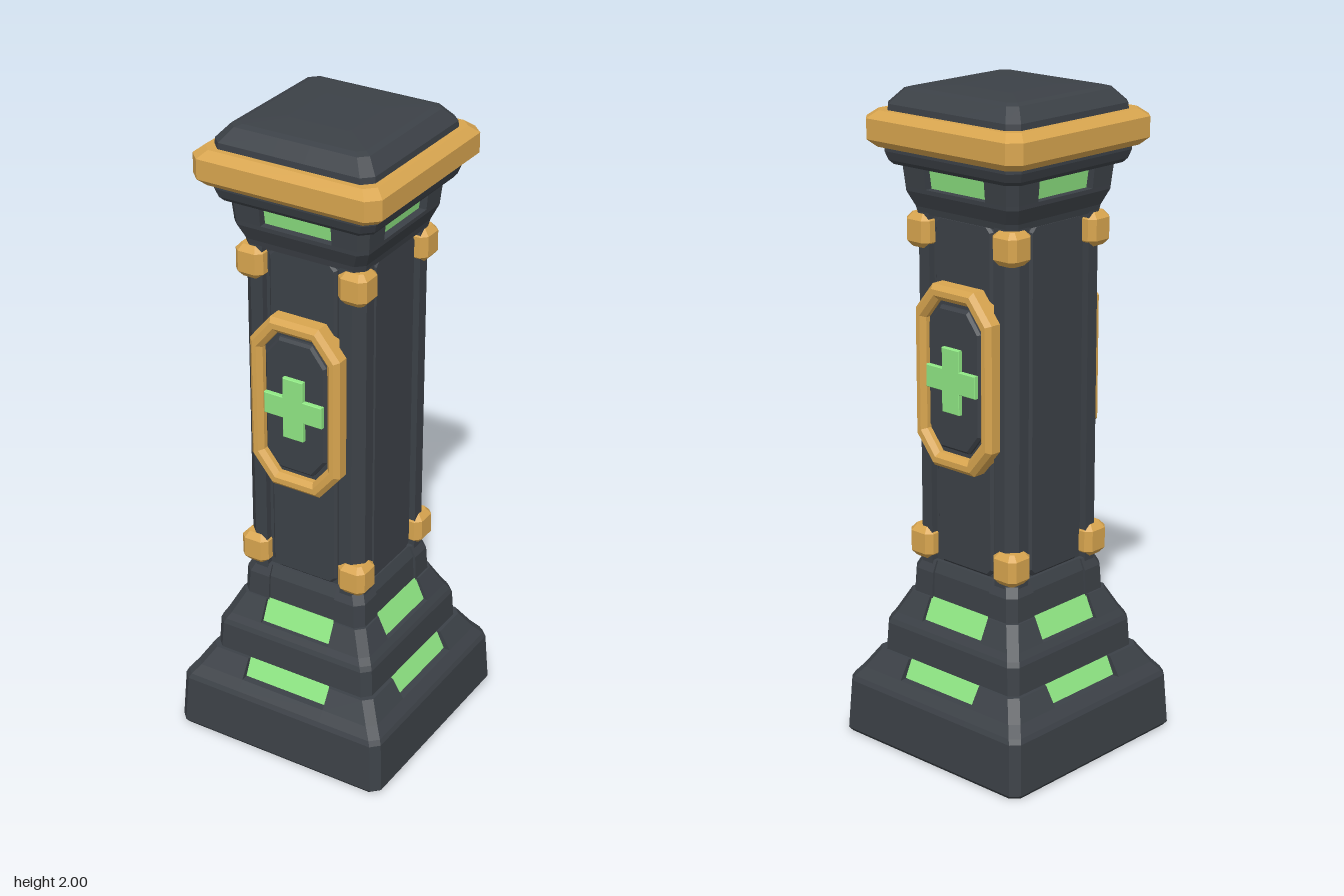
import * as THREE from 'three';

const stone = new THREE.MeshStandardMaterial({ color: 0x3c4147 });
stone.name = 'dark stone';
const gold = new THREE.MeshStandardMaterial({ color: 0xd8a54f });
gold.name = 'gold trim';
const green = new THREE.MeshStandardMaterial({ color: 0x94ee88 });
green.name = 'green glow';

// Square ring with chamfered corners and a notch of half width w, cut in to distance n on each side
function ring([y, h, c, n = h], w) {
  const side = [[c - h, h], [-w, h], [-w, n], [w, n], [w, h], [h - c, h]];
  const points = [];
  for (let k = 0; k < 4; k++) {
    for (const p of side) {
      let [x, z] = p;
      for (let r = 0; r < k; r++) [x, z] = [z, -x];
      points.push([x, y, z]);
    }
  }
  return points;
}

// Flat-faced solid through rings at levels [height, half width, chamfer, notch distance]
function loft(levels, w) {
  const rings = levels.map((level) => ring(level, w));
  const out = [];
  const count = rings[0].length;
  const last = rings.length - 1;
  const bottom = [0, levels[0][0], 0];
  const top = [0, levels[last][0], 0];
  for (let i = 0; i < count; i++) {
    const j = (i + 1) % count;
    out.push(bottom, rings[0][j], rings[0][i], top, rings[last][i], rings[last][j]);
    for (let k = 0; k < last; k++) {
      const a = rings[k][i], b = rings[k][j], c = rings[k + 1][j], d = rings[k + 1][i];
      out.push(a, b, c, a, c, d);
    }
  }
  const geometry = new THREE.BufferGeometry();
  geometry.setAttribute('position', new THREE.Float32BufferAttribute(out.flat(), 3));
  geometry.computeVertexNormals();
  return geometry;
}

// Rectangle with cut corners
function octagon(Type, w, h, cx, cy = cx) {
  return new Type([
    [w - cx, -h], [w, cy - h], [w, h - cy], [w - cx, h],
    [cx - w, h], [-w, h - cy], [-w, cy - h], [cx - w, -h],
  ].map(([x, y]) => new THREE.Vector2(x, y)));
}

// Plate with a bevelled rim, its front at z = depth
function plate(shape, depth, bevel) {
  return new THREE.ExtrudeGeometry(shape, {
    depth: depth - bevel, bevelEnabled: bevel > 0, bevelSize: bevel,
    bevelThickness: bevel, bevelOffset: -bevel, bevelSegments: 1,
  });
}

export function createModel() {
  const model = new THREE.Group();
  const add = (name, geometry, material, parent = model) => {
    const mesh = new THREE.Mesh(geometry, material);
    mesh.name = name;
    parent.add(mesh);
    return mesh;
  };

  // Stepped foot with sloping recesses for the lights
  add('plinth', loft([
    [0, 0.352, 0.025], [0.012, 0.361, 0.025], [0.17, 0.352, 0.025], [0.185, 0.345, 0.025],
    [0.215, 0.322, 0.025], [0.215, 0.322, 0.025, 0.296], [0.274, 0.286, 0.025, 0.268],
  ], 0.145), stone);
  add('upperStep', loft([
    [0.268, 0.275, 0.025], [0.36, 0.27, 0.025], [0.375, 0.264, 0.025],
    [0.395, 0.252, 0.025], [0.395, 0.252, 0.025, 0.234], [0.465, 0.218, 0.025, 0.202],
  ], 0.12), stone);
  add('neck', loft([
    [0.46, 0.212, 0.025, 0.204], [0.54, 0.208, 0.025, 0.2], [0.575, 0.192, 0.025, 0.185],
  ], 0.115), stone);

  // Shaft with corner posts
  add('shaft', loft([[0.56, 0.197, 0.03, 0.175], [1.66, 0.197, 0.03, 0.175]], 0.127), stone);

  // Capital, gold cornice and cap
  add('capital', loft([
    [1.635, 0.196, 0.025], [1.655, 0.2, 0.025], [1.7, 0.219, 0.025],
    [1.713, 0.22, 0.025], [1.713, 0.22, 0.025, 0.19], [1.778, 0.226, 0.025, 0.2],
    [1.778, 0.246, 0.03], [1.79, 0.256, 0.03], [1.815, 0.264, 0.03], [1.84, 0.264, 0.03],
  ], 0.116), stone);
  add('cornice', loft([
    [1.828, 0.278, 0.03], [1.85, 0.302, 0.035], [1.91, 0.302, 0.035], [1.932, 0.275, 0.03],
  ], 0.1), gold);
  add('cap', loft([
    [1.925, 0.257, 0.03], [1.95, 0.255, 0.03], [1.99, 0.22, 0.025], [1.996, 0.2, 0.02], [2, 0.1, 0.01],
  ], 0.05), stone);

  // Side panels and glowing strips, repeated on all four faces
  const panel = plate(octagon(THREE.Shape, 0.112, 0.53, 0.02), 0.02, 0.008);
  const strips = [ // name, width, y, height, z, tilt
    ['lowerLight', 0.288, 0.244, 0.062, 0.284, -0.443],
    ['middleLight', 0.238, 0.429, 0.074, 0.22, -0.43],
    ['upperLight', 0.23, 1.745, 0.065, 0.197, 0.153],
  ];
  for (let k = 0; k < 4; k++) {
    const face = new THREE.Group();
    face.name = 'face' + (k + 1);
    face.rotation.y = k * Math.PI / 2;
    model.add(face);
    add('panel', panel, stone, face).position.set(0, 1.11, 0.17);
    for (const [name, width, y, height, z, tilt] of strips) {
      const strip = add(name, new THREE.BoxGeometry(width, height, 0.008), green, face);
      strip.position.set(0, y, z);
      strip.rotation.x = tilt;
    }
  }

  // Gold clamps on the corner posts
  const clamp = loft([
    [-0.05, 0.03, 0.01], [-0.032, 0.046, 0.018], [0.032, 0.046, 0.018], [0.05, 0.03, 0.01],
  ], 0.01);
  for (const y of [0.627, 1.585]) {
    for (const x of [-0.169, 0.169]) {
      for (const z of [-0.169, 0.169]) add('clamp', clamp, gold).position.set(x, y, z);
    }
  }

  // Medallions with a cross, front and back
  const frame = octagon(THREE.Shape, 0.15, 0.275, 0.07, 0.085);
  frame.holes.push(octagon(THREE.Path, 0.108, 0.23, 0.05, 0.062));
  const frameGeometry = plate(frame, 0.065, 0.014);
  const backing = plate(octagon(THREE.Shape, 0.128, 0.25, 0.062, 0.077), 0.035, 0);
  const inset = plate(octagon(THREE.Shape, 0.102, 0.214, 0.047, 0.06), 0.052, 0.008);
  const a = 0.034, b = 0.097;
  const cross = plate(new THREE.Shape([
    [a, -b], [a, -a], [b, -a], [b, a], [a, a], [a, b],
    [-a, b], [-a, a], [-b, a], [-b, -a], [-a, -a], [-a, -b],
  ].map(([x, y]) => new THREE.Vector2(x, y))), 0.014, 0.002);
  for (const turn of [0, Math.PI]) {
    const medallion = new THREE.Group();
    medallion.name = turn ? 'backMedallion' : 'frontMedallion';
    medallion.rotation.y = turn;
    model.add(medallion);
    add('medallionFrame', frameGeometry, gold, medallion).position.set(0, 1.175, 0.18);
    add('medallionBacking', backing, stone, medallion).position.set(0, 1.175, 0.18);
    add('medallionInset', inset, stone, medallion).position.set(0, 1.175, 0.18);
    add('cross', cross, green, medallion).position.set(0, 1.175, 0.232);
  }
  return model;
}
